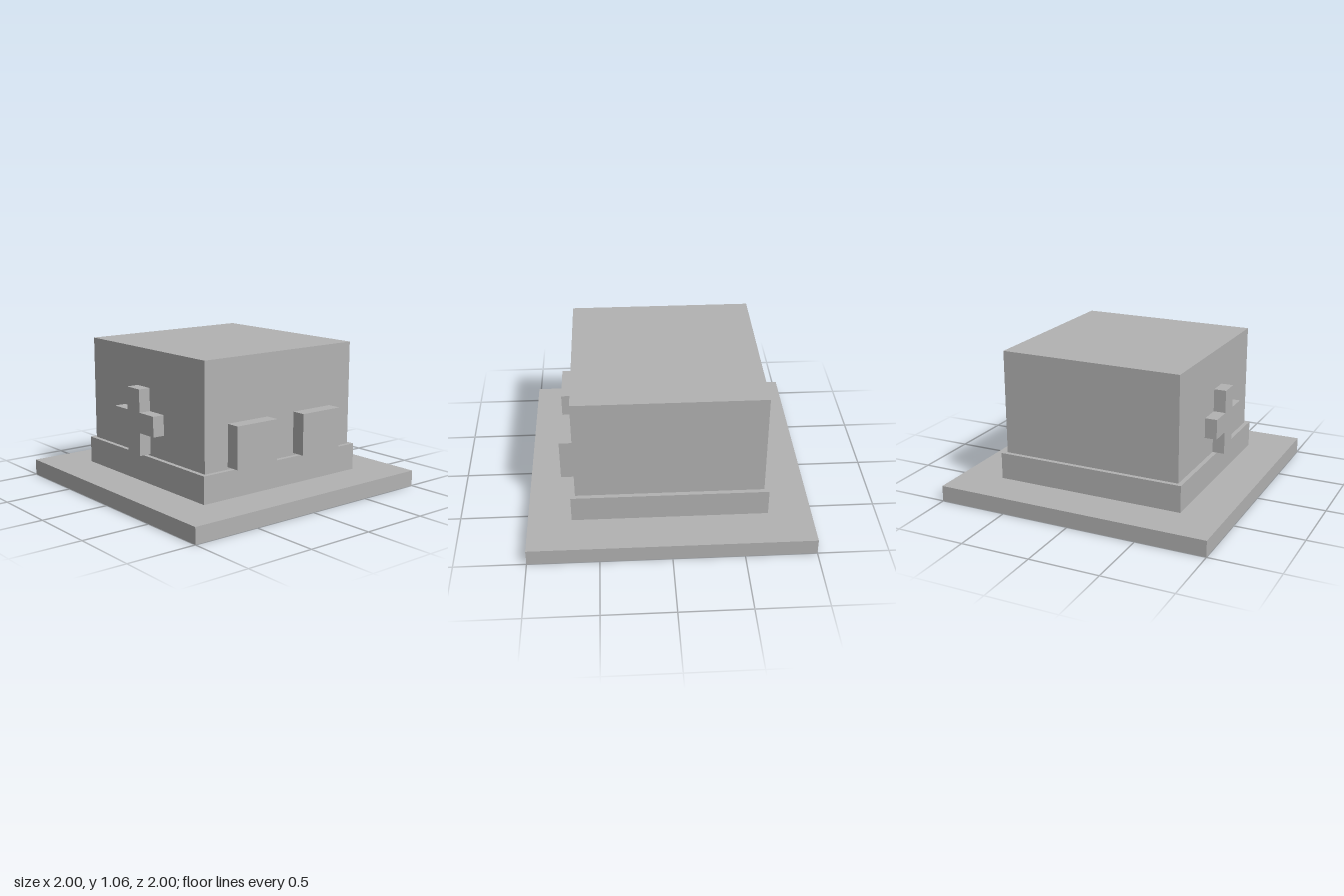
import * as THREE from 'three';

export function createModel() {
  const model = new THREE.Group();
  const grey = new THREE.MeshStandardMaterial({ color: 0xb2b2b2 });
  grey.name = 'plain grey';

  // Box given by its centre in x and z, its bottom height and its size
  function addBox(name, w, h, d, x, bottom, z) {
    const mesh = new THREE.Mesh(new THREE.BoxGeometry(w, h, d), grey);
    mesh.name = name;
    mesh.position.set(x, bottom + h / 2, z);
    model.add(mesh);
  }

  // Stepped base and main block
  addBox('groundSlab', 2, 0.115, 2, 0, 0, 0);
  addBox('plinth', 1.386, 0.193, 1.386, 0, 0.115, 0);
  addBox('mainBlock', 1.322, 0.752, 1.322, 0, 0.308, 0);

  // Pair of blocks standing out from the front wall
  for (const side of [-1, 1]) {
    addBox(side < 0 ? 'rightFrontBlock' : 'leftFrontBlock', 0.348, 0.295, 0.102, side * 0.294, 0.325, 0.711);
  }

  // Cross held just off the right wall
  const a = 0.072, b = 0.234;
  const outline = [
    [-a, -b], [a, -b], [a, -a], [b, -a], [b, a], [a, a],
    [a, b], [-a, b], [-a, a], [-b, a], [-b, -a], [-a, -a],
  ].map(([x, y]) => new THREE.Vector2(x, y));
  const crossGeometry = new THREE.ExtrudeGeometry(new THREE.Shape(outline), { depth: 0.087, bevelEnabled: false });
  crossGeometry.rotateY(-Math.PI / 2);
  const cross = new THREE.Mesh(crossGeometry, grey);
  cross.name = 'wallCross';
  cross.position.set(-0.678, 0.561, -0.002);
  model.add(cross);

  return model;
}
